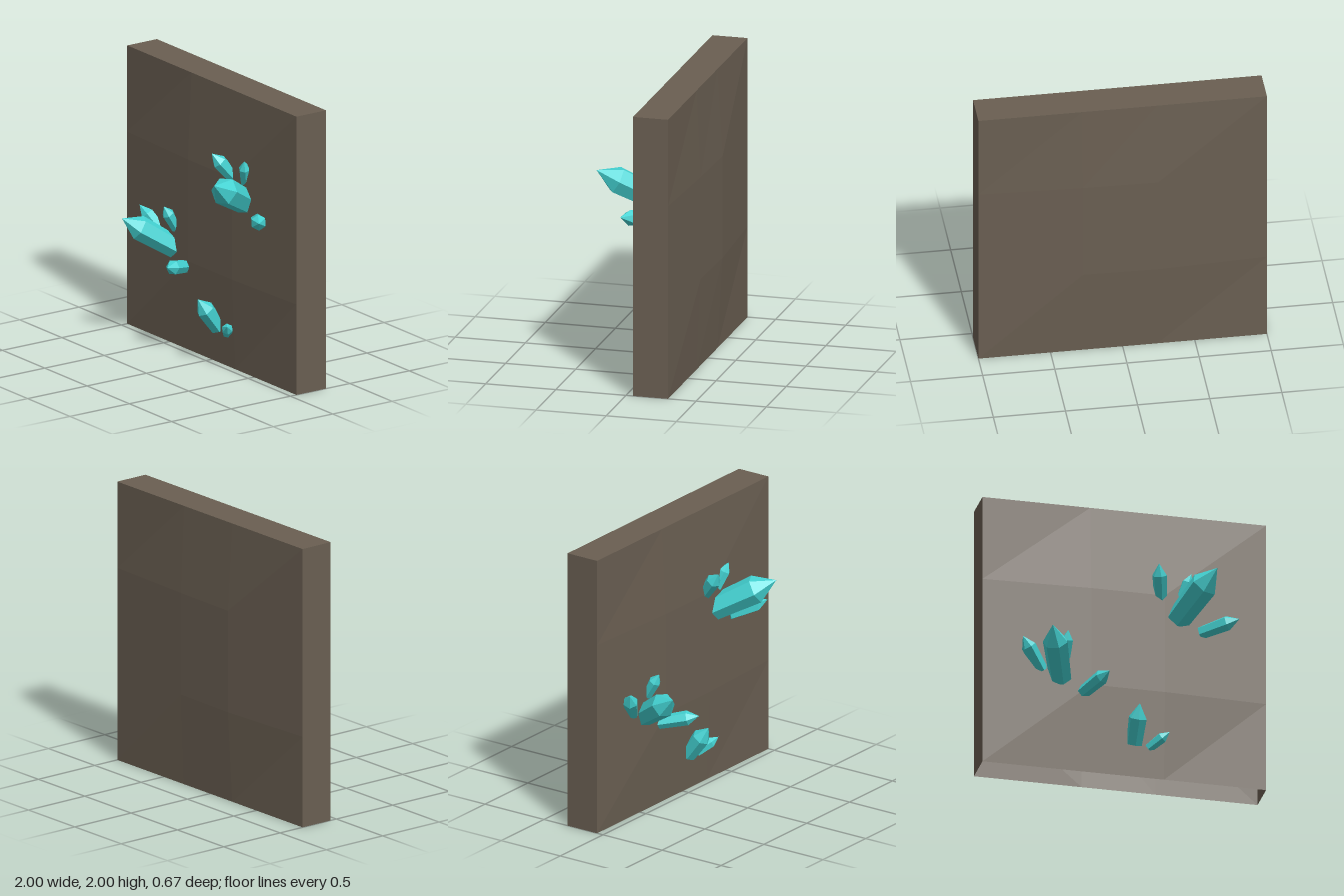
import * as THREE from 'three';

const rock = new THREE.MeshStandardMaterial({ color: 0x6a5f52, side: THREE.DoubleSide });
rock.name = 'brown rock';
const crystalMat = new THREE.MeshStandardMaterial({ color: 0x44d4d4 });
crystalMat.name = 'turquoise crystal';

// Separate faces so every facet is flat
function faceted(geometry) {
  const flat = geometry.toNonIndexed();
  flat.computeVertexNormals();
  return flat;
}

// Wall slab: 3 x 3 panels swelling slightly at front and back, open underneath
function makeWall() {
  const geo = new THREE.BoxGeometry(2, 2, 0.25, 3, 3, 1).translate(0, 1, -0.175);
  const { start, count } = geo.groups[3];
  const index = Array.from(geo.index.array);
  index.splice(start, count);
  geo.setIndex(index);
  geo.clearGroups();
  const p = geo.attributes.position;
  for (let i = 0; i < p.count; i++) {
    const x = p.getX(i), y = p.getY(i), z = p.getZ(i);
    const innerX = Math.abs(x) < 0.9, innerY = Math.abs(y - 1) < 0.9;
    if (innerX) p.setX(i, x < 0 ? -0.24 : 0.28);
    if (innerY) p.setY(i, y < 1 ? 0.65 : 1.38);
    if (innerX && innerY) p.setZ(i, z > -0.175 ? -0.02 : x < 0 ? -0.338 : -0.328);
  }
  const wall = new THREE.Mesh(faceted(geo), rock);
  wall.name = 'wallSlab';
  return wall;
}

// Six-sided crystal with a tapered foot and a pointed tip
function makeCrystal(foot, tip, r) {
  const a = new THREE.Vector3(...foot), b = new THREE.Vector3(...tip);
  const dir = b.clone().sub(a).normalize();
  a.addScaledVector(dir, -0.04); // root sunk into the wall
  const length = a.distanceTo(b);
  const profile = [[0, 0], [r * 0.88, 0], [r, length - r * 1.6], [0, length]]
    .map(([x, y]) => new THREE.Vector2(x, y));
  const mesh = new THREE.Mesh(faceted(new THREE.LatheGeometry(profile, 6)), crystalMat);
  mesh.position.copy(a);
  mesh.quaternion.setFromUnitVectors(new THREE.Vector3(0, 1, 0), dir);
  mesh.name = 'crystal';
  return mesh;
}

// Each crystal: foot on the wall, tip, radius
const clusters = {
  upperCluster: [
    [[0.395, 1.245, -0.03], [0.565, 1.46, 0.333], 0.1],
    [[0.25, 1.4, -0.03], [0.21, 1.56, 0.1], 0.052],
    [[0.41, 1.41, -0.04], [0.46, 1.55, 0.005], 0.042],
    [[0.57, 1.145, -0.03], [0.775, 1.2, 0.105], 0.055],
  ],
  sideCluster: [
    [[-0.46, 0.71, -0.03], [-0.585, 0.925, 0.29], 0.088],
    [[-0.6, 0.77, -0.05], [-0.735, 0.94, 0.035], 0.052],
    [[-0.42, 0.87, -0.03], [-0.42, 1.01, 0.055], 0.043],
    [[-0.285, 0.6, -0.03], [-0.165, 0.66, 0.208], 0.052],
  ],
  lowerCluster: [
    [[0.07, 0.28, -0.03], [0.07, 0.48, 0.118], 0.065],
    [[0.2, 0.25, -0.04], [0.3, 0.325, 0.035], 0.04],
  ],
};

export function createModel() {
  const model = new THREE.Group();
  model.name = 'crystalWall';
  model.add(makeWall());
  for (const [name, crystals] of Object.entries(clusters)) {
    const group = new THREE.Group();
    group.name = name;
    for (const c of crystals) group.add(makeCrystal(...c));
    model.add(group);
  }
  return model;
}
